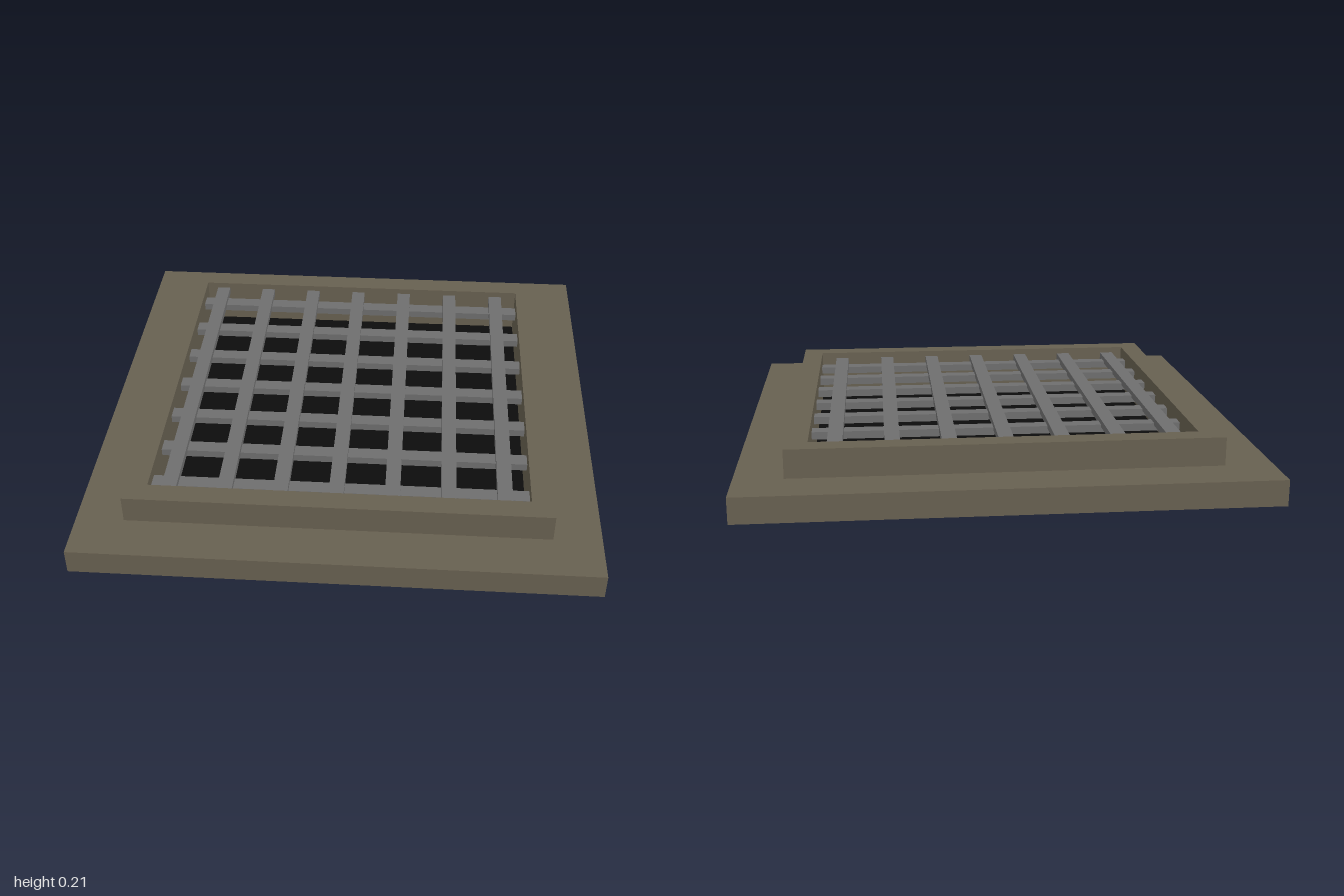
import * as THREE from 'three';

const stone = new THREE.MeshStandardMaterial({ color: 0x676050 });
const metal = new THREE.MeshStandardMaterial({ color: 0x6e6e6e });
const dark = new THREE.MeshStandardMaterial({ color: 0x0c0c0c });

const OPENING = 1.46;

function box(name, material, w, h, d, x, y, z) {
  const mesh = new THREE.Mesh(new THREE.BoxGeometry(w, h, d), material);
  mesh.name = name;
  mesh.position.set(x, y, z);
  return mesh;
}

// Square ring lying flat, from height y0 to y1
function squareRing(name, outer, inner, y0, y1) {
  const square = (s, Type) => new Type([[-s, -s], [s, -s], [s, s], [-s, s]]
    .map(([x, y]) => new THREE.Vector2(x / 2, y / 2)));
  const shape = square(outer, THREE.Shape);
  shape.holes.push(square(inner, THREE.Path));
  const geometry = new THREE.ExtrudeGeometry(shape, { depth: y1 - y0, bevelEnabled: false });
  geometry.rotateX(-Math.PI / 2);
  const mesh = new THREE.Mesh(geometry, stone);
  mesh.name = name;
  mesh.position.y = y0;
  return mesh;
}

export function createModel() {
  const model = new THREE.Group();
  model.name = 'floorGrate';

  // Stepped surround with a closed underside
  model.add(squareRing('baseSlab', 2, OPENING, 0, 0.1));
  model.add(squareRing('raisedRim', 1.63, OPENING, 0.1, 0.21));
  model.add(box('underside', stone, OPENING, 0.01, OPENING, 0, 0.005, 0));

  // Dark bottom of the shaft
  model.add(box('shaftFloor', dark, OPENING, 0.01, OPENING, 0, 0.015, 0));

  // Crossed bars, the lengthwise ones on top
  const grate = new THREE.Group();
  grate.name = 'grate';
  for (let i = -3; i <= 3; i++) {
    const step = i * 0.215;
    grate.add(box('lengthwiseBar', metal, 0.058, 0.03, OPENING, step - 0.01, 0.17, 0));
    grate.add(box('crossBar', metal, OPENING, 0.03, 0.058, 0, 0.15, step + 0.005));
  }
  model.add(grate);

  return model;
}
